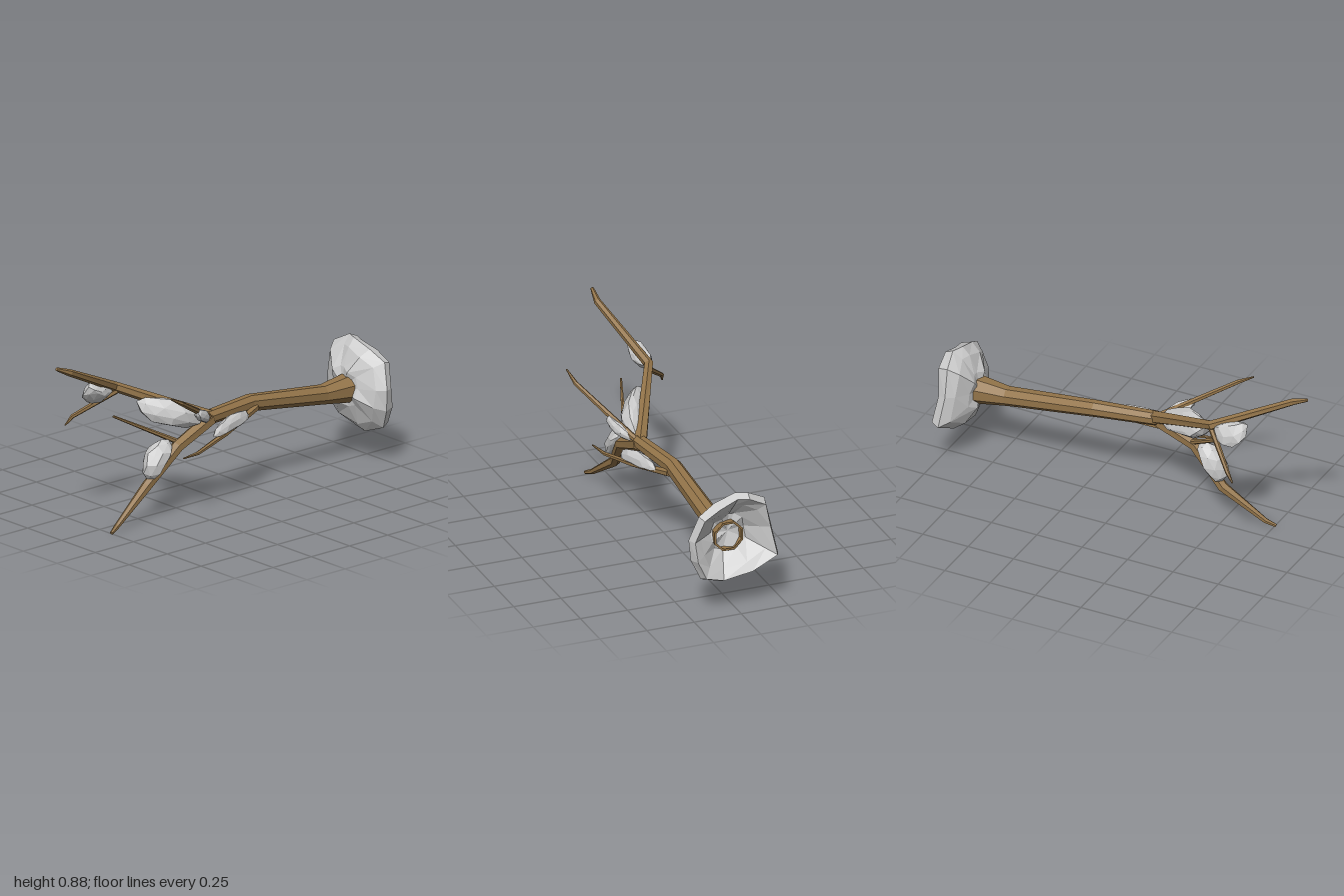
import * as THREE from 'three';

const bark = new THREE.MeshStandardMaterial({ color: 0x937449, flatShading: true, side: THREE.DoubleSide });
const snow = new THREE.MeshStandardMaterial({ color: 0xcccccc, flatShading: true });

const V = (a) => new THREE.Vector3(...a);

// Joins equal-length loops of points into one surface; loops turn anticlockwise about their direction of travel
function loft(loops, capStart, capEnd) {
  const n = loops[0].length, pos = [], idx = [];
  loops.forEach((loop) => loop.forEach((p) => pos.push(p.x, p.y, p.z)));
  for (let k = 0; k < loops.length - 1; k++)
    for (let i = 0; i < n; i++) {
      const a = k * n + i, b = k * n + (i + 1) % n;
      idx.push(a, b, b + n, a, b + n, a + n);
    }
  const last = (loops.length - 1) * n;
  for (let i = 1; i < n - 1; i++) {
    if (capStart) idx.push(0, i + 1, i);
    if (capEnd) idx.push(last, last + i, last + i + 1);
  }
  const g = new THREE.BufferGeometry();
  g.setAttribute('position', new THREE.Float32BufferAttribute(pos, 3));
  g.setIndex(idx);
  g.computeVertexNormals();
  return g;
}

// Tapered limb along a bent path of [x, y, z, radius]
function limb(path, sides, capStart = true) {
  const pts = path.map((p) => V(p.slice(0, 3)));
  const loops = pts.map((p, k) => {
    const before = pts[Math.max(k - 1, 0)], after = pts[Math.min(k + 1, pts.length - 1)];
    const dir = after.clone().sub(before).normalize();
    const side = new THREE.Vector3(0, 1, 0).cross(dir).normalize();
    const up = dir.clone().cross(side);
    return Array.from({ length: sides }, (_, i) => {
      const t = ((i + 0.5) / sides) * Math.PI * 2, r = path[k][3];
      return p.clone().addScaledVector(side, Math.cos(t) * r).addScaledVector(up, Math.sin(t) * r);
    });
  });
  return loft(loops, capStart, true);
}

// Faceted lump lying along a-b, flat on the limb and swelling towards bulge
function lump(a, b, bulge, depth, width) {
  const A = V(a), B = V(b);
  const axis = B.clone().sub(A), half = axis.length() / 2;
  axis.normalize();
  const out = V(bulge);
  out.addScaledVector(axis, -out.dot(axis)).normalize();
  const side = out.clone().cross(axis);
  const mid = A.add(B).multiplyScalar(0.5);
  const g = new THREE.IcosahedronGeometry(1, 1);
  const p = g.attributes.position, v = new THREE.Vector3();
  for (let i = 0; i < p.count; i++) {
    v.fromBufferAttribute(p, i);
    const k = 1 + 0.08 * Math.sin(v.x * 5 + v.y * 3 + v.z * 7);
    const s = v.x * width * k, o = v.y * k * (v.y > 0 ? depth : depth * 0.25), l = v.z * half * 1.08;
    v.copy(mid).addScaledVector(side, s).addScaledVector(out, o).addScaledVector(axis, l);
    p.setXYZ(i, v.x, v.y, v.z);
  }
  g.computeVertexNormals();
  return g;
}

// Cupped mass round the foot of the trunk: outline scaled through [scale, z] steps
function rootMass() {
  const outline = [[0.245, 0.41], [0.2, 0.54], [0.11, 0.59], [0, 0.625], [-0.06, 0.625], [-0.155, 0.575],
    [-0.19, 0.43], [-0.22, 0.27], [-0.08, 0.195], [0.08, 0.16], [0.19, 0.2], [0.235, 0.3]];
  const steps = [[0.02, -0.855], [0.4, -0.868], [0.72, -0.935], [0.92, -0.972], [1, -0.925],
    [0.82, -0.88], [0.42, -0.835], [0.02, -0.83]];
  const cx = 0.015, cy = 0.395;
  const loops = steps.map(([s, z], k) => outline.map(([x, y], i) => {
    const wobble = s > 0.1 ? 0.014 * Math.sin(i * 2.1 + k * 0.6) : 0;
    return new THREE.Vector3(cx + (x - cx) * s, cy + (y - cy) * s, z + wobble);
  }));
  return loft(loops, true, true);
}

export function createModel() {
  const model = new THREE.Group();
  const add = (name, geometry, material) => {
    const mesh = new THREE.Mesh(geometry, material);
    mesh.name = name;
    model.add(mesh);
  };

  // Fallen trunk running on into its longest branch
  add('trunk', limb([[0.025, 0.385, -0.9, 0.082], [0.03, 0.39, -0.68, 0.05], [0.03, 0.455, -0.2, 0.043],
    [0.08, 0.46, 0.12, 0.037]], 8, false), bark);
  const rim = new THREE.RingGeometry(0.07, 0.082, 8, 1, Math.PI / 8);
  rim.rotateY(Math.PI).translate(0.025, 0.385, -0.9);
  add('trunkRim', rim, bark);

  const branches = {
    upperBranch: [[0.08, 0.463, 0.1, 0.034], [-0.14, 0.66, 0.53, 0.025], [-0.03, 0.845, 0.92, 0.018], [-0.035, 0.88, 1, 0.009]],
    upperTwig: [[-0.13, 0.64, 0.52, 0.016], [-0.275, 0.505, 0.685, 0.011], [-0.29, 0.462, 0.72, 0.004]],
    lowerBranch: [[0.085, 0.455, 0.1, 0.036], [0.09, 0.36, 0.32, 0.032], [0.055, 0.185, 0.49, 0.027],
      [0.085, 0.035, 0.71, 0.014], [0.1, 0.012, 0.76, 0.009]],
    lowerTwig: [[0.08, 0.375, 0.3, 0.014], [-0.035, 0.553, 0.63, 0.006]],
    leftBranch: [[0.09, 0.465, 0.11, 0.017], [0.275, 0.66, 0.46, 0.012], [0.29, 0.703, 0.54, 0.004]],
    sideTwig: [[0.06, 0.435, -0.22, 0.02], [0.14, 0.375, 0.06, 0.015], [0.195, 0.342, 0.28, 0.01], [0.215, 0.345, 0.39, 0.004]],
  };
  for (const [name, path] of Object.entries(branches)) add(name, limb(path, 6), bark);

  // Lumps settled on the branches
  add('sideTwigSnow', lump([0.1, 0.42, -0.13], [0.162, 0.39, 0.14], [0, 1, 0], 0.06, 0.032), snow);
  add('upperBranchSnow', lump([0.08, 0.485, 0.15], [-0.06, 0.58, 0.44], [0.6, -0.6, 0.4], 0.1, 0.07), snow);
  add('lowerBranchSnow', lump([0.065, 0.39, 0.36], [0.055, 0.22, 0.48], [0, 0.7, 0.7], 0.08, 0.066), snow);
  add('upperTwigSnow', lump([-0.145, 0.645, 0.55], [-0.12, 0.7, 0.71], [-0.55, -0.8, 0], 0.1, 0.045), snow);
  add('leftBranchSnow', lump([0.1, 0.475, 0.14], [0.18, 0.55, 0.27], [1, -1, 0], 0.045, 0.03), snow);
  add('rootSnow', rootMass(), snow);
  return model;
}
